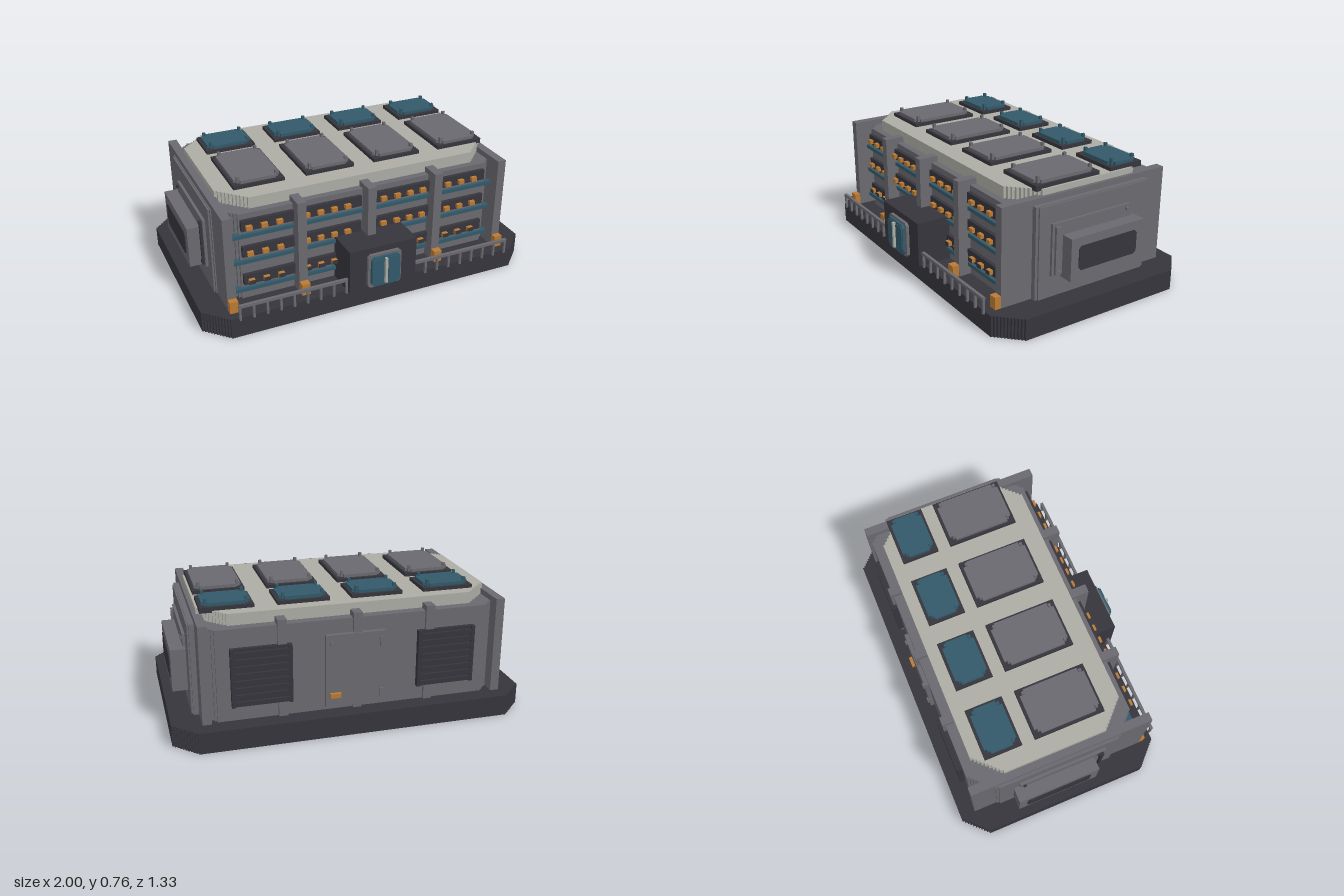
import * as THREE from 'three';

const mat = (name, color) => {
  const m = new THREE.MeshStandardMaterial({ color });
  m.name = name;
  return m;
};

// Rectangle outline with corners cut by c; n > 0 turns each cut into n small stairs
function cutRect(w, h, c, n = 0) {
  const corner = [];
  const steps = Math.max(n, 1), s = c / steps;
  for (let i = 0; i <= steps; i++) {
    corner.push([w / 2 - i * s, h / 2 - c + i * s]);
    if (n && i < steps) corner.push([w / 2 - (i + 1) * s, h / 2 - c + i * s]);
  }
  const flip = (sx, sy) => corner.map(([x, y]) => new THREE.Vector2(x * sx, y * sy));
  return new THREE.Shape([
    ...flip(1, 1), ...flip(-1, 1).reverse(), ...flip(-1, -1), ...flip(1, -1).reverse(),
  ]);
}

export function createModel() {
  const dark = mat('charcoal', 0x36353c);
  const grey = mat('wall grey', 0x69696f);
  const light = mat('roof light grey', 0xacaca5);
  const teal = mat('teal glass', 0x325969);
  const orange = mat('orange', 0xba7a32);
  const root = new THREE.Group();

  const add = (name, geo, m, parent = root) => {
    const mesh = new THREE.Mesh(geo, m);
    mesh.name = name;
    parent.add(mesh);
    return mesh;
  };
  // Box given by its limits on each axis
  const box = (name, m, x0, x1, y0, y1, z0, z1, parent = root) => {
    const mesh = add(name, new THREE.BoxGeometry(x1 - x0, y1 - y0, z1 - z0), m, parent);
    mesh.position.set((x0 + x1) / 2, (y0 + y1) / 2, (z0 + z1) / 2);
    return mesh;
  };
  // Upright prism with cut corners, given by its limits
  const prism = (name, m, x0, x1, y0, y1, z0, z1, c, n = 0) => {
    const geo = new THREE.ExtrudeGeometry(cutRect(x1 - x0, z1 - z0, c, n), { depth: y1 - y0, bevelEnabled: false });
    geo.rotateX(-Math.PI / 2);
    geo.translate((x0 + x1) / 2, y0, (z0 + z1) / 2);
    return add(name, geo, m);
  };
  // Plate facing +z with cut corners
  const plate = (name, m, x0, x1, y0, y1, z0, z1, c, parent = root) => {
    const geo = new THREE.ExtrudeGeometry(cutRect(x1 - x0, y1 - y0, c), { depth: z1 - z0, bevelEnabled: false });
    geo.translate((x0 + x1) / 2, (y0 + y1) / 2, z0);
    return add(name, geo, m, parent);
  };

  // Plinth, body and roof
  prism('plinth', dark, -1, 1, 0, 0.12, -0.663, 0.575, 0.125, 10);
  prism('body', grey, -0.83, 0.83, 0.12, 0.64, -0.56, 0.41, 0.075, 5);
  prism('roof', light, -0.82, 0.82, 0.64, 0.705, -0.507, 0.37, 0.14, 9);
  box('roofEdgeTrim', light, 0.795, 0.82, 0.67, 0.69, -0.37, 0.22);

  // Pillars, with orange feet on the front ones
  const bays = [-0.837, -0.424, -0.012, 0.401, 0.814];
  bays.forEach((x, i) => {
    const end = i === 0 || i === 4, mid = i === 2;
    if (end) box('endWall', grey, x - 0.025, x + 0.025, 0.12, 0.672, -0.575, 0.49);
    else {
      box('frontPillar', grey, x - 0.025, x + 0.025, 0.12, 0.672, 0.35, 0.485);
      box('rearPillar', grey, x - 0.025, x + 0.025, 0.12, 0.672, -0.577, -0.51);
    }
    if (!mid) box('pillarFoot', orange, x - 0.024, x + 0.024, 0.121, 0.19, 0.44, 0.525);
  });

  // Front windows, ledges and lamps, floor by floor
  const windows = [[-0.745, -0.45], [-0.398, -0.05], [0.03, 0.375], [0.43, 0.738]];
  const lamps = [-0.705, -0.62, -0.535, -0.38, -0.30, -0.22, -0.14, 0.08, 0.165, 0.245, 0.325, 0.49, 0.575, 0.66];
  [0.215, 0.388, 0.545].forEach((y, floor) => {
    windows.forEach(([a, b]) => box('windowBand', dark, a, b, y, y + 0.062, 0.39, 0.432));
    box('tealLedge', teal, -0.8, 0.79, y - 0.044, y - 0.023, 0.39, 0.428);
    for (const x of lamps) {
      box('lamp', orange, x - 0.017, x + 0.017, y + 0.012, y + 0.036, 0.43, 0.453);
      if (floor === 0) box('lampCover', dark, x - 0.018, x + 0.018, y + 0.011, y + 0.034, 0.453, 0.456);
    }
  });

  // Entrance block and double door
  box('entranceBlock', dark, -0.205, 0.202, 0.12, 0.38, 0.40, 0.612);
  const door = new THREE.Group();
  door.name = 'door';
  root.add(door);
  plate('doorFrame', grey, -0.103, 0.1, 0.138, 0.345, 0.61, 0.63, 0.015, door);
  plate('doorGlass', teal, -0.088, 0.086, 0.15, 0.333, 0.63, 0.646, 0.018, door);
  for (const x of [-0.05, 0.045])
    plate('doorLeaf', teal, x - 0.035, x + 0.035, 0.172, 0.322, 0.646, 0.652, 0.01, door);
  box('doorHandle', light, -0.012, 0.002, 0.17, 0.325, 0.646, 0.663, door);

  // Railing along the front edge
  for (const [a, b] of [[-0.83, -0.205], [0.202, 0.825]]) {
    box('railTop', grey, a, b, 0.188, 0.205, 0.575, 0.592);
    for (let i = 0; i <= 8; i++) {
      const x = a + 0.006 + (b - a - 0.012) * i / 8;
      box('railPost', grey, x - 0.006, x + 0.006, 0.11, 0.19, 0.577, 0.59);
    }
  }

  // Stacked panels on both end walls
  for (const s of [1, -1]) {
    const side = new THREE.Group();
    side.name = s > 0 ? 'leftSidePanels' : 'rightSidePanels';
    root.add(side);
    const out = (name, m, x0, x1, y0, y1, z0, z1) =>
      box(name, m, Math.min(s * x0, s * x1), Math.max(s * x0, s * x1), y0, y1, z0, z1, side);
    out('wallPanel', grey, 0.80, 0.868, 0.12, 0.64, -0.437, 0.303);
    out('wallPanelFace', grey, 0.86, 0.877, 0.12, 0.635, -0.42, 0.287);
    out('hatchPanel', grey, 0.87, 0.892, 0.245, 0.537, -0.30, 0.215);
    out('housing', grey, 0.88, 0.965, 0.225, 0.465, -0.335, 0.148);
    const trim = s > 0 ? grey : dark;
    out('hatchHandle', trim, 0.89, 0.906, 0.26, 0.52, 0.183, 0.2);
    for (const y of [0.262, 0.507]) out('handleEnd', trim, 0.89, 0.906, y - 0.009, y + 0.009, 0.165, 0.2);
    out('hatchBolt', trim, 0.89, 0.904, 0.505, 0.52, -0.285, -0.268);
    const pane = plate('sideWindow', dark, -0.193, 0.193, 0.28, 0.416, 0, 0.006, 0.016, side);
    pane.rotation.y = s * Math.PI / 2;
    pane.position.set(s * 0.964, 0, -0.093);
  }

  // Louvred vents on the back
  for (const x of [-0.52, 0.515]) {
    box('ventFrame', dark, x - 0.165, x + 0.165, 0.205, 0.535, -0.58, -0.55);
    for (const e of [-1, 1]) box('ventSide', dark, x + e * 0.155 - 0.01, x + e * 0.155 + 0.01, 0.205, 0.535, -0.592, -0.575);
    for (let i = 0; i < 8; i++)
      box('ventSlat', dark, x - 0.145, x + 0.145, 0.215 + i * 0.04, 0.237 + i * 0.04, -0.594, -0.575);
  }

  // Service door on the back
  box('serviceDoor', grey, -0.167, 0.167, 0.14, 0.56, -0.584, -0.55);
  box('serviceHandle', orange, 0.085, 0.145, 0.2, 0.225, -0.603, -0.58);
  for (const y of [0.2, 0.5]) box('serviceHinge', grey, -0.155, -0.135, y - 0.025, y + 0.025, -0.594, -0.58);
  box('serviceBolt', grey, 0.125, 0.145, 0.5, 0.525, -0.594, -0.58);

  // Roof hatches: grey row in front, teal skylights behind
  for (const x of [-0.577, -0.163, 0.249, 0.663]) {
    for (const [name, m, z0, z1] of [['roofHatch', grey, -0.148, 0.262], ['skylight', teal, -0.438, -0.222]]) {
      box(name + 'Frame', dark, x - 0.145, x + 0.145, 0.695, 0.725, z0, z1);
      prism(name, m, x - 0.13, x + 0.13, 0.725, 0.743, z0 + 0.015, z1 - 0.015, 0.03, 2);
      for (const sx of [-1, 1])
        for (const z of [z0 + 0.037, z1 - 0.037])
          box(name + 'Latch', m, x + sx * 0.108 - 0.008, x + sx * 0.108 + 0.008, 0.725, 0.762, z - 0.008, z + 0.008);
    }
  }
  return root;
}
